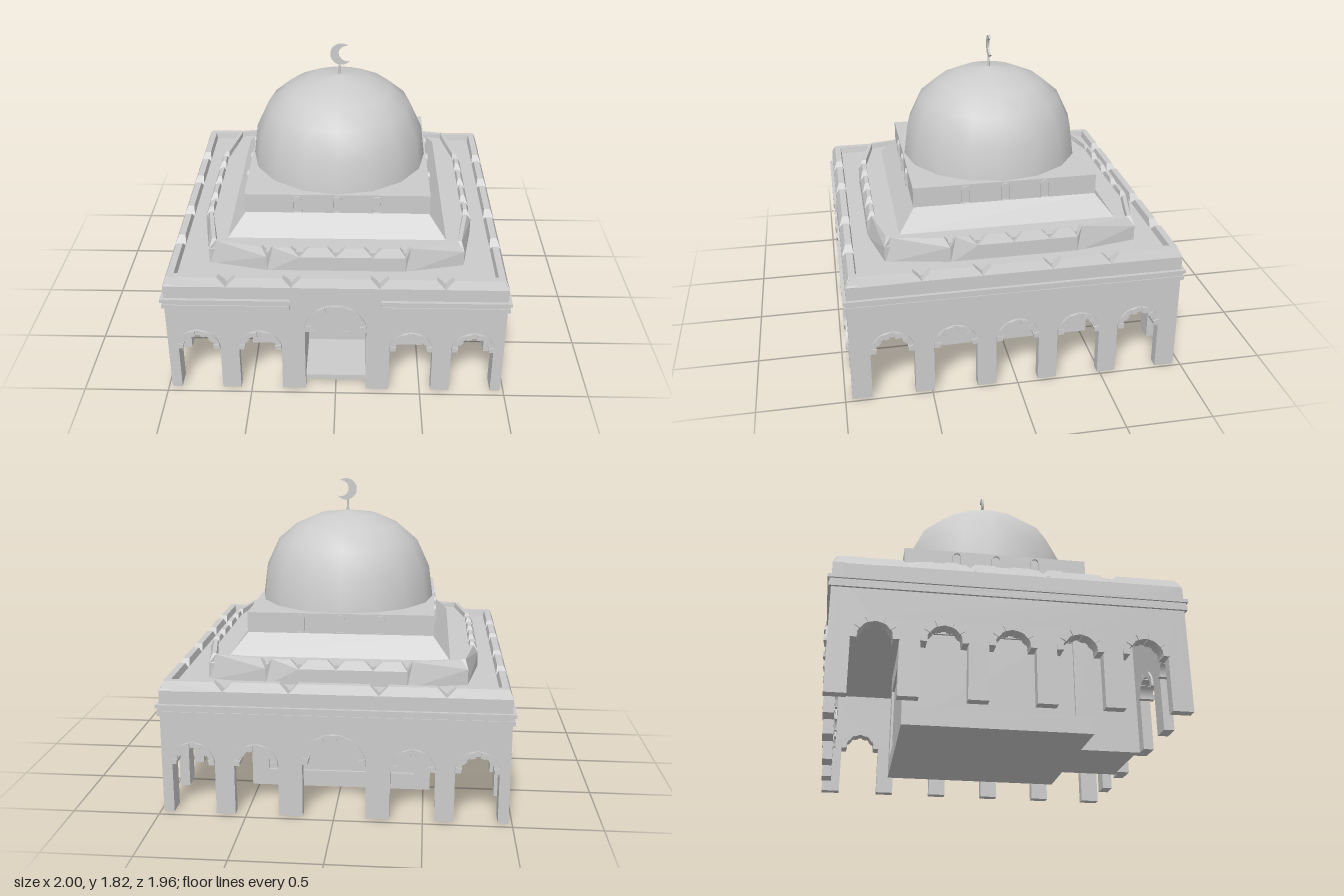
import * as THREE from 'three';

const mat = new THREE.MeshStandardMaterial({ color: 0xcccccc, flatShading: true });
const smooth = new THREE.MeshStandardMaterial({ color: 0xcccccc, side: THREE.DoubleSide });

function add(parent, name, geo, x = 0, y = 0, z = 0, material = mat) {
  const m = new THREE.Mesh(geo, material);
  m.name = name;
  m.position.set(x, y, z);
  parent.add(m);
  return m;
}
// box given by its limits
function block(parent, name, x0, x1, y0, y1, z0, z1) {
  return add(parent, name, new THREE.BoxGeometry(x1 - x0, y1 - y0, z1 - z0),
    (x0 + x1) / 2, (y0 + y1) / 2, (z0 + z1) / 2);
}
// extrusion whose outer face lies at z = front
function slab(shape, depth, front = 0, curveSegments = 10) {
  return new THREE.ExtrudeGeometry(shape, { depth, bevelEnabled: false, curveSegments })
    .translate(0, 0, front - depth);
}

// wall with arched openings reaching the ground; arches are {c, r, y}
function arcadeShape(half, top, arches) {
  const s = new THREE.Shape();
  s.moveTo(-half, 0);
  for (const { c, r, y } of arches) {
    s.lineTo(c - r, 0);
    s.lineTo(c - r, y);
    s.absarc(c, y, r, Math.PI, 0, true);
    s.lineTo(c + r, 0);
  }
  s.lineTo(half, 0);
  s.lineTo(half, top);
  s.lineTo(-half, top);
  return s;
}

// parapet strip with V notches, its outer top edge leaning inward
function parapet(half, y0, y1, notches, thick, inset) {
  const s = new THREE.Shape();
  const dip = y1 - 0.05;
  s.moveTo(-half, y0);
  s.lineTo(half, y0);
  s.lineTo(half, dip);
  s.lineTo(half - inset, y1);
  for (const n of [...notches].reverse()) {
    s.lineTo(n + 0.05, y1);
    s.lineTo(n, dip);
    s.lineTo(n - 0.05, y1);
  }
  s.lineTo(-half + inset, y1);
  s.lineTo(-half, dip);
  const g = slab(s, thick);
  const p = g.attributes.position;
  for (let i = 0; i < p.count; i++) {
    if (p.getY(i) > y1 - 0.001) p.setZ(i, p.getZ(i) > -0.01 ? -0.022 : -thick + 0.01);
  }
  g.computeVertexNormals();
  return g;
}

// ring of separate wedge stones lining an arch
function archStones(parent, { c, r, y }, n) {
  const g = new THREE.Group();
  g.name = 'archStones';
  g.position.set(c, y, 0);
  parent.add(g);
  for (let i = 0; i < n; i++) {
    const proud = i % 2 === 0;
    const a = (i / n) * Math.PI, b = ((i + 1) / n) * Math.PI;
    const s = new THREE.Shape();
    s.absarc(0, 0, r + 0.002, a, b, false);
    s.absarc(0, 0, r - (proud ? 0.033 : 0.028), b, a, true);
    add(g, 'archStone', slab(s, proud ? 0.09 : 0.08, proud ? 0.018 : 0.01, 2));
  }
}

// round-headed outline
function archedOutline(target, w, h) {
  target.moveTo(-w, 0);
  target.lineTo(w, 0);
  target.lineTo(w, h - w);
  target.absarc(0, h - w, w, 0, Math.PI, false);
  target.lineTo(-w, 0);
  return target;
}

export function createModel() {
  const model = new THREE.Group();
  model.name = 'domedBuilding';

  // four arcaded outer walls: front, +x side, back, -x side
  for (let k = 0; k < 4; k++) {
    const side = k % 2 === 1;
    const half = side ? 0.96 : 0.98;
    const wall = new THREE.Group();
    wall.name = ['frontWall', 'leftWall', 'backWall', 'rightWall'][k];
    wall.rotation.y = k * Math.PI / 2;
    const dist = side ? 0.98 : 0.96;
    wall.position.set(Math.sin(wall.rotation.y) * dist, 0, Math.cos(wall.rotation.y) * dist);
    model.add(wall);

    const small = (c) => ({ c, r: 0.125, y: 0.3 });
    const middle = side ? small(0) : { c: 0, r: 0.178, y: k === 0 ? 0.435 : 0.32 };
    const arches = side
      ? [small(-0.72), small(-0.36), middle, small(0.36), small(0.72)]
      : [small(-0.8), small(-0.44), middle, small(0.44), small(0.8)];
    add(wall, 'arcade', slab(arcadeShape(half, 0.725, arches), 0.06));
    arches.forEach((a) => archStones(wall, a, a.r > 0.15 ? 13 : 11));

    const notches = side ? [-0.54, -0.2, 0.2, 0.54] : [-0.62, -0.25, 0.25, 0.62];
    add(wall, 'parapet', parapet(half, 0.725, 0.78, notches, 0.07, 0.03));

    // twin string courses, broken above the front portal
    for (const [y0, y1, out] of [[0.585, 0.61, 0.014], [0.61, 0.63, 0.009], [0.63, 0.65, 0.02]]) {
      const spans = k === 0 ? [[-half - out, -0.26], [0.26, half + out]] : [[-half - out, half + out]];
      spans.forEach(([a, b]) => block(wall, 'stringCourse', a, b, y0, y1, -0.02, out));
    }
  }

  // inner hall with sunken panels between plinth, corner posts and head
  block(model, 'hall', -0.525, 0.525, 0.002, 0.7, -0.525, 0.54);
  block(model, 'hallPlinth', -0.54, 0.54, 0, 0.1, -0.54, 0.541);
  block(model, 'hallHead', -0.54, 0.54, 0.55, 0.7, -0.54, 0.541);
  for (const x of [-1, 1]) for (const z of [-1, 1]) {
    add(model, 'hallCornerPost', new THREE.BoxGeometry(0.1, 0.45, 0.1), x * 0.49, 0.325, z * 0.49);
  }

  // entrance passage
  for (const s of [-1, 1]) {
    add(model, 'passageWall', new THREE.BoxGeometry(0.06, 0.7, 0.38), s * 0.21, 0.35, 0.72);
  }
  block(model, 'entranceStep', -0.18, 0.18, 0, 0.035, 0.54, 0.88);
  block(model, 'passageCeiling', -0.18, 0.18, 0.42, 0.68, 0.54, 0.9);

  // lower roof
  block(model, 'lowerRoof', -0.93, 0.93, 0.68, 0.74, -0.91, 0.91);

  const upper = new THREE.Group();
  upper.name = 'upperStorey';
  upper.position.z = -0.012;
  model.add(upper);

  // twelve-sided second tier with its own notched parapet
  const ring = [[0.81, -0.37], [0.81, 0.37], [0.74, 0.735], [0.4, 0.81], [-0.4, 0.81], [-0.74, 0.735],
    [-0.81, 0.37], [-0.81, -0.37], [-0.74, -0.735], [-0.4, -0.81], [0.4, -0.81], [0.74, -0.735]];
  ring.forEach(([ax, az], i) => {
    const [bx, bz] = ring[(i + 1) % ring.length];
    const len = Math.hypot(bx - ax, bz - az);
    const wall = add(upper, 'tierWall',
      parapet(len / 2, 0.73, 0.88, len > 0.6 ? [-0.21, 0, 0.21] : [], 0.055, 0.035),
      (ax + bx) / 2, 0, (az + bz) / 2);
    wall.rotation.y = Math.atan2(bz - az, -(bx - ax));
  });
  const deck = new THREE.Shape(ring.map(([x, z]) => new THREE.Vector2(x * 0.97, -z * 0.97)));
  add(upper, 'upperRoof', slab(deck, 0.12).rotateX(-Math.PI / 2), 0, 0.85, 0);

  // sloped base and square drum
  const q = Math.SQRT2;
  add(upper, 'slopedBase',
    new THREE.CylinderGeometry(0.54 * q, 0.64 * q, 0.12, 4, 1, false, Math.PI / 4), 0, 0.91, 0);
  block(upper, 'squareDrum', -0.545, 0.545, 0.97, 1.09, -0.545, 0.545);

  // three arched windows on each drum face
  for (let k = 0; k < 4; k++) {
    const face = new THREE.Group();
    face.name = 'drumWindows';
    face.rotation.y = k * Math.PI / 2;
    upper.add(face);
    for (const x of [-0.235, 0, 0.235]) {
      const frame = archedOutline(new THREE.Shape(), 0.029, 0.105);
      frame.holes.push(archedOutline(new THREE.Path(), 0.02, 0.095).clone());
      add(face, 'windowFrame', slab(frame, 0.02, 0.558, 6), x, 0.978, 0);
    }
  }

  // dome
  const profile = [[0.535, 1.09], [0.51, 1.28], [0.433, 1.445], [0.32, 1.54], [0.185, 1.6], [0, 1.627]]
    .map(([r, y]) => new THREE.Vector2(r, y));
  add(upper, 'dome', new THREE.LatheGeometry(profile, 16), 0, 0, 0, smooth);

  // crescent finial
  add(upper, 'finialStem', new THREE.CylinderGeometry(0.005, 0.009, 0.08, 8), 0, 1.655, 0);
  const moon = new THREE.Shape();
  moon.absarc(0, 0, 0.066, 0.835, Math.PI * 2 - 0.835, false);
  moon.absarc(0.034, 0, 0.05, Math.PI * 2 - 1.363, 1.363, true);
  const crescent = add(upper, 'crescent', slab(moon, 0.012, 0.006, 16), 0.012, 1.754, 0);
  crescent.rotation.z = 0.12;

  return model;
}
